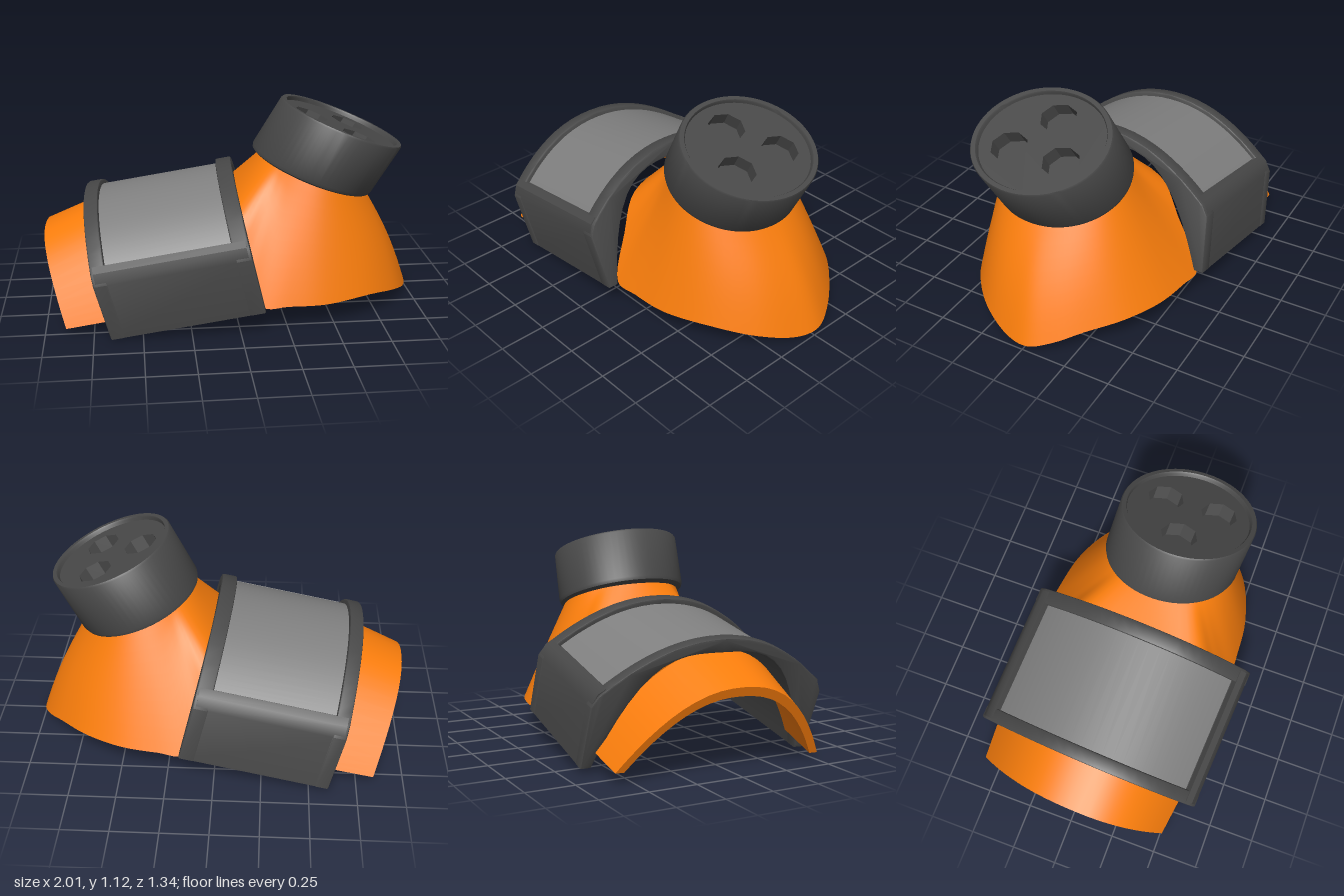
import * as THREE from 'three';
import { toCreasedNormals } from 'three/addons/utils/BufferGeometryUtils.js';

const V = (x, y, z) => new THREE.Vector3(x, y, z);
const mat = (color) => new THREE.MeshStandardMaterial({ color, side: THREE.DoubleSide });
const orange = mat(0xfb7e0c), dark = mat(0x484848), grey = mat(0x808080);

// slanted frame of the cuff: length, height and width directions
const LEN = V(0.983, 0.17, 0.06), UP = V(-0.25, 1, 0.11), WIDE = V(-0.05, -0.02, 1);
const cuffFrame = new THREE.Matrix4()
  .makeBasis(WIDE.clone().negate(), UP, LEN).setPosition(-0.24, 0.08, -0.01);

// slanted frame of the cap: an ellipse swept along a leaning axis
const capFrame = new THREE.Matrix4()
  .makeBasis(V(0.32, -0.125, 0), V(0.155, 0.27, 0.037), V(0, 0, 0.367))
  .setPosition(0.435, 0.725, 0.07);

function addMesh(group, name, geometry, material, crease = 0.6) {
  const mesh = new THREE.Mesh(toCreasedNormals(geometry, crease), material);
  mesh.name = name;
  group.add(mesh);
}

// points of an arch from +w to -w, h0 at the ends and h1 at the crown
function arch(w, h0, h1, power = 2.1, n = 28) {
  return Array.from({ length: n + 1 }, (_, i) => {
    const s = Math.cos((i / n) * Math.PI);
    return new THREE.Vector2(w * s, h0 + (h1 - h0) * (1 - Math.abs(s) ** power));
  });
}

// closed profile between an outer and an inner arch, with optional side points
function archShape(outer, inner, side = []) {
  const right = side.map(([x, y]) => new THREE.Vector2(x, y));
  const left = side.map(([x, y]) => new THREE.Vector2(-x, y)).reverse();
  return new THREE.Shape([...right, ...outer, ...left, ...inner.slice().reverse()]);
}

function archSolid(shape, x0, x1, bevel = 0) {
  const g = new THREE.ExtrudeGeometry(shape, {
    depth: x1 - x0 - 2 * bevel, bevelEnabled: bevel > 0, bevelSize: bevel,
    bevelThickness: bevel, bevelOffset: -bevel, bevelSegments: 2,
  });
  return g.translate(0, 0, x0 + bevel);
}

function buildCuff(group) {
  // main saddle with raised shoulders beside the panel
  const body = archShape(arch(0.555, 0.37, 0.585), arch(0.575, 0, 0.55, 3.5),
    [[0.623, 0], [0.634, 0.31], [0.61, 0.37], [0.575, 0.395]]);
  addMesh(group, 'cuffBody', archSolid(body, -0.385, 0.385).applyMatrix4(cuffFrame), dark);

  // raised rims at both ends, running down to the feet of the saddle
  const rim = archShape(arch(0.605, 0.365, 0.618), arch(0.573, 0, 0.548, 3.5),
    [[0.625, 0], [0.636, 0.31]]);
  for (const [name, a, b] of [['outerRim', -0.4, -0.325], ['innerRim', 0.315, 0.4]]) {
    addMesh(group, name, archSolid(rim, a, b, 0.008).applyMatrix4(cuffFrame), dark);
  }

  // inset panel
  const panel = archShape(arch(0.55, 0.38, 0.592), arch(0.54, 0.36, 0.57));
  addMesh(group, 'cuffPanel', archSolid(panel, -0.327, 0.317).applyMatrix4(cuffFrame), grey);

  // tapering tongue that emerges from the cuff, its free end leaning outwards
  const tongue = archSolid(
    archShape(arch(0.55, 0.07, 0.467, 2.3), arch(0.505, 0.07, 0.42, 2.3)), -0.66, -0.34);
  const p = tongue.attributes.position;
  for (let i = 0; i < p.count; i++) {
    const x = p.getX(i), y = p.getY(i), z = p.getZ(i);
    const t = (z + 0.66) / 0.32;
    p.setXYZ(i, x * (1 + 0.04 * t), y * (1 + 0.17 * t), z + 0.05 * (1 - t) * (1 - y / 0.467));
  }
  addMesh(group, 'tongue', tongue.applyMatrix4(cuffFrame), orange);
}

function buildSleeve(group) {
  // lower edge: over the cuff end, then around the flared skirt
  const edge = new THREE.CatmullRomCurve3([
    [0.01, 0.64, 0.08], [0.02, 0.58, 0.37], [0.06, 0.385, 0.48], [0.11, 0.14, 0.575],
    [0.25, 0.135, 0.575], [0.45, 0.13, 0.555], [0.7, 0.135, 0.46], [0.88, 0.09, 0.3],
    [0.98, 0.035, 0.1], [1.0, 0.035, -0.03], [0.95, 0.07, -0.15], [0.85, 0.12, -0.28],
    [0.7, 0.145, -0.42], [0.5, 0.15, -0.52], [0.3, 0.15, -0.56], [0.16, 0.15, -0.57],
    [0.1, 0.41, -0.42], [0.05, 0.6, -0.28],
  ].map((q) => V(...q)), true);
  const N = 90, R = 10, rows = [];
  const heart = V(0.45, 0.14, 0.05), neck = V(0.445, 0.73, 0.075);
  const row = (t, shrink) => Array.from({ length: N }, (_, i) => {
    const low = edge.getPoint(i / N);
    const a = Math.atan2((low.z - 0.05) / 0.33, (low.x - 0.45) / 0.27);
    const top = V(0.27 * Math.cos(a), -0.1 * Math.cos(a), 0.33 * Math.sin(a)).add(neck);
    low.lerp(heart, shrink);
    top.lerp(neck, shrink);
    const q = top.lerp(low, t);
    q.x += 0.025 * Math.sin(Math.PI * t) * Math.max(0, Math.cos(a));
    return q;
  });
  // outside from neck to edge, then back up the inside
  for (let j = 0; j <= R; j++) rows.push(row(j / R, 0));
  for (let j = R; j >= 0; j--) rows.push(row(j / R, 0.07));

  const index = [];
  for (let j = 0; j < rows.length - 1; j++) {
    for (let i = 0; i < N; i++) {
      const k = (i + 1) % N, a = j * N + i, b = j * N + k;
      index.push(a, b, a + N, b, b + N, a + N);
    }
  }
  const g = new THREE.BufferGeometry().setFromPoints(rows.flat());
  g.setIndex(index);
  addMesh(group, 'sleeve', g, orange, 0.8);
}

function buildCap(group) {
  // drum with a thin lip, in unit radius and height
  const profile = [[0, -0.04], [0.93, -0.04], [0.98, -0.01], [1, 0.05], [1, 0.97], [0.985, 1],
    [0.92, 1], [0.905, 0.97], [0.905, 0.66], [0, 0.66]].map(([x, y]) => new THREE.Vector2(x, y));
  addMesh(group, 'capDrum', new THREE.LatheGeometry(profile, 64).applyMatrix4(capFrame), dark);

  // face plate with three eight-sided wells
  const plate = new THREE.Shape().absarc(0, 0, 0.91, 0, Math.PI * 2);
  for (let k = 0; k < 3; k++) {
    const c = Math.PI + (k * Math.PI * 2) / 3;
    plate.holes.push(new THREE.Path(Array.from({ length: 8 }, (_, i) => {
      const a = (-i / 8) * Math.PI * 2;
      return new THREE.Vector2(0.47 * Math.cos(c) + 0.27 * Math.cos(a),
        0.47 * Math.sin(c) + 0.27 * Math.sin(a));
    })));
  }
  const g = new THREE.ExtrudeGeometry(plate, { depth: 0.25, bevelEnabled: false, curveSegments: 48 });
  g.rotateX(-Math.PI / 2).translate(0, 0.67, 0).applyMatrix4(capFrame);
  addMesh(group, 'capPlate', g, dark, 0.4);
}

export function createModel() {
  const model = new THREE.Group();
  model.name = 'model';
  for (const [name, build] of [['cuff', buildCuff], ['sleeveGroup', buildSleeve], ['cap', buildCap]]) {
    const part = new THREE.Group();
    part.name = name;
    build(part);
    model.add(part);
  }
  return model;
}
